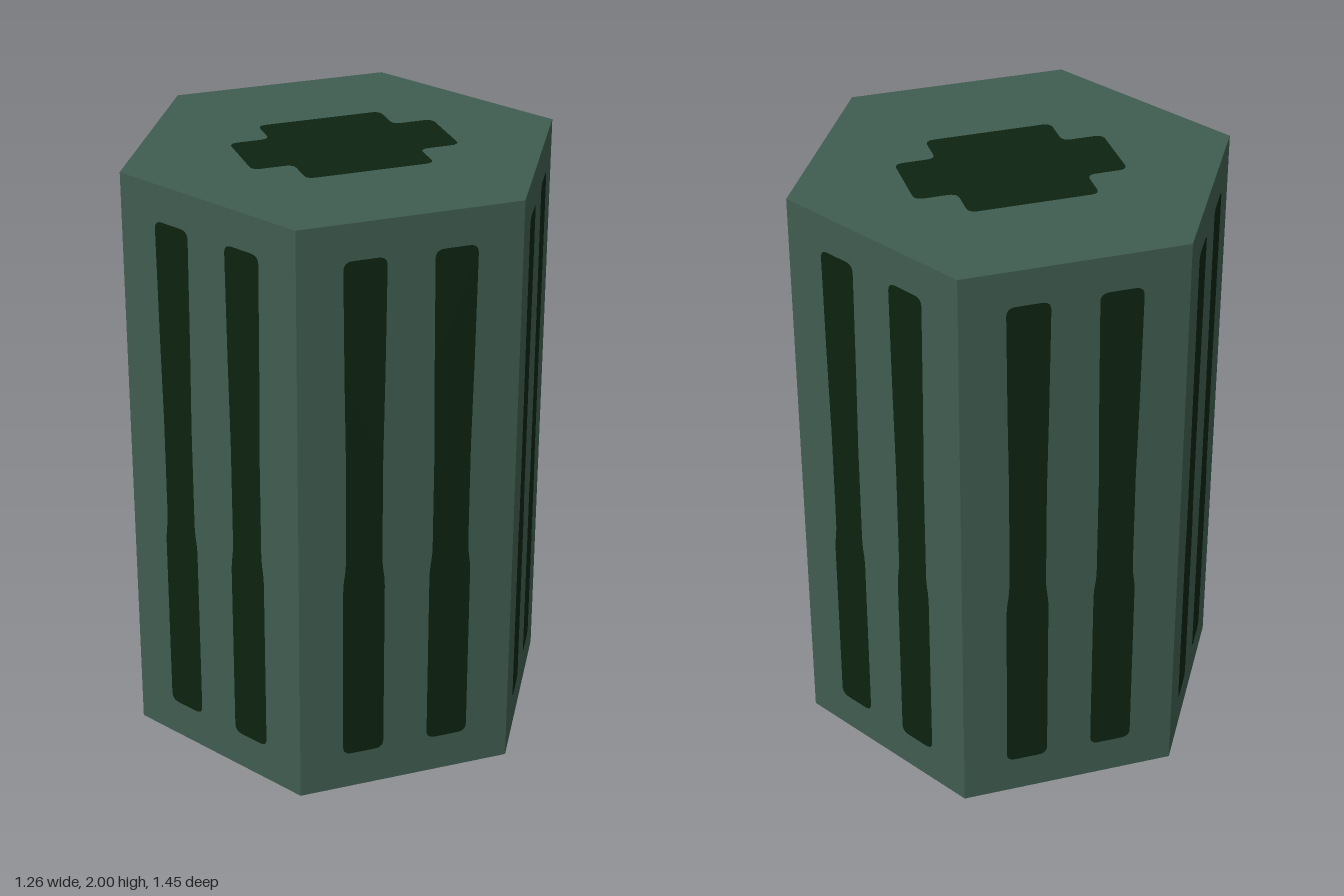
import * as THREE from 'three';
import { toCreasedNormals } from 'three/addons/utils/BufferGeometryUtils.js';

const RADIUS = 0.726;
const HEIGHT = 2;
const APOTHEM = RADIUS * Math.cos(Math.PI / 6);
const LIFT = 0.002;

// Closed polygon whose corners are softened by radius r
function roundedShape(points, r) {
  const corners = points.map(([x, y]) => new THREE.Vector2(x, y));
  const shape = new THREE.Shape();
  const toward = (from, to) => {
    const d = to.clone().sub(from);
    return from.clone().addScaledVector(d.normalize(), Math.min(r, from.distanceTo(to) / 2));
  };
  corners.forEach((c, i) => {
    const before = toward(c, corners[(i + corners.length - 1) % corners.length]);
    const after = toward(c, corners[(i + 1) % corners.length]);
    if (i === 0) shape.moveTo(before.x, before.y);
    else shape.lineTo(before.x, before.y);
    shape.quadraticCurveTo(c.x, c.y, after.x, after.y);
  });
  shape.closePath();
  return shape;
}

export function createModel() {
  const model = new THREE.Group();
  model.name = 'hexagonalColumn';
  const green = new THREE.MeshStandardMaterial({ color: 0x3f5c50 });
  green.name = 'grey green';
  const dark = new THREE.MeshStandardMaterial({ color: 0x0d2310 });
  dark.name = 'dark green';

  // Six-sided body with a dark underside
  const bodyGeo = toCreasedNormals(new THREE.CylinderGeometry(RADIUS, RADIUS, HEIGHT, 6), 0.5);
  const body = new THREE.Mesh(bodyGeo, [green, green, dark]);
  body.name = 'body';
  body.position.y = HEIGHT / 2;
  model.add(body);

  // Upright stripe, slightly waisted in the middle: [half width, height]
  const edge = [[0.07, 0.13], [0.07, 0.77], [0.061, 0.83], [0.061, 1.2], [0.066, 1.5], [0.07, 1.88]];
  const outline = [...edge, ...edge.map(([w, y]) => [-w, y]).reverse()];
  const stripeGeo = new THREE.ShapeGeometry(roundedShape(outline, 0.03), 6);

  // Two stripes on each side face
  for (let i = 0; i < 6; i++) {
    const face = new THREE.Group();
    face.name = 'sideStripes' + (i + 1);
    face.rotation.y = Math.PI / 6 + i * Math.PI / 3;
    for (const side of [-1, 1]) {
      const stripe = new THREE.Mesh(stripeGeo, dark);
      stripe.name = side < 0 ? 'stripeA' : 'stripeB';
      stripe.position.set(side * 0.146, 0, APOTHEM + LIFT);
      face.add(stripe);
    }
    model.add(face);
  }

  // Stepped cross patch on the top
  const [a, b, c, d] = [0.345, 0.123, 0.21, 0.25];
  const cross = [
    [a, -b], [a, b], [c, b], [c, d], [-c, d], [-c, b],
    [-a, b], [-a, -b], [-c, -b], [-c, -d], [c, -d], [c, -b],
  ];
  const patchGeo = new THREE.ShapeGeometry(roundedShape(cross, 0.03), 6);
  patchGeo.rotateX(-Math.PI / 2);
  patchGeo.rotateY(-Math.PI / 6);
  const patch = new THREE.Mesh(patchGeo, dark);
  patch.name = 'topPatch';
  patch.position.set(0.008, HEIGHT + LIFT, 0.003);
  model.add(patch);

  return model;
}
